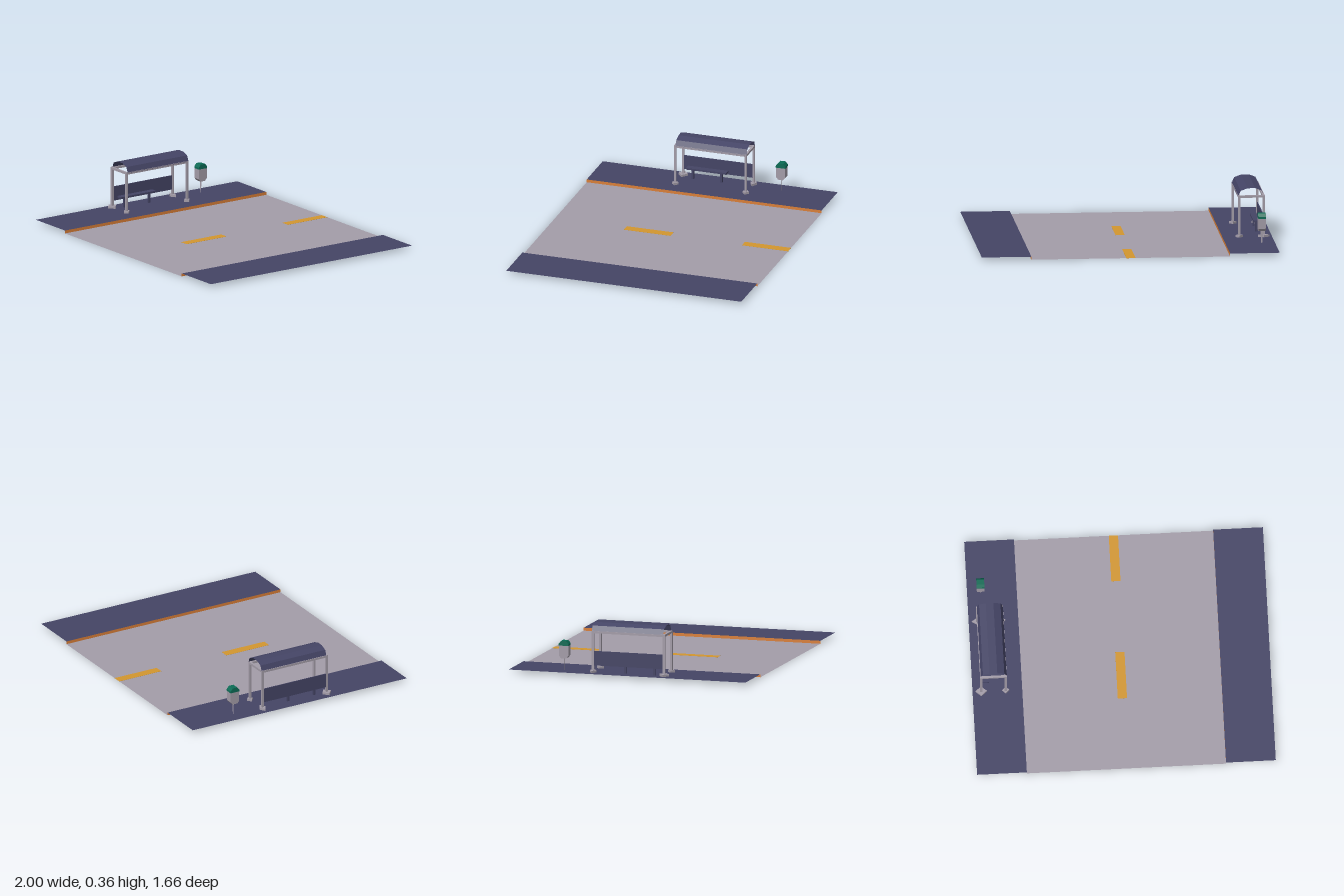
import * as THREE from 'three';

function mat(name, color) {
  const m = new THREE.MeshStandardMaterial({ color, side: THREE.DoubleSide, flatShading: true });
  m.name = name;
  return m;
}

export function createModel() {
  const navy = mat('navy', 0x444465);
  const grey = mat('warm grey', 0xa39ca8);
  const yellow = mat('lane yellow', 0xd2962f);
  const orange = mat('curb orange', 0xd97f38);
  const green = mat('bin green', 0x0b6b55);

  const root = new THREE.Group();
  root.name = 'streetWithShelter';

  function add(parent, name, geometry, material) {
    const m = new THREE.Mesh(geometry, material);
    m.name = name;
    parent.add(m);
    return m;
  }
  // Box given by its minimum and maximum on each axis
  function box(parent, name, material, x0, x1, y0, y1, z0, z1) {
    const m = add(parent, name, new THREE.BoxGeometry(x1 - x0, y1 - y0, z1 - z0), material);
    m.position.set((x0 + x1) / 2, (y0 + y1) / 2, (z0 + z1) / 2);
    return m;
  }
  function ground(name, material, width, x, y) {
    const m = add(root, name, new THREE.PlaneGeometry(width, 1.66).rotateX(-Math.PI / 2), material);
    m.position.set(x, y, 0);
  }
  // Profile drawn as [z, y], extruded along x around its centre
  function extrudeX(parent, name, material, points, width, x, z) {
    const shape = new THREE.Shape(points.map(([pz, py]) => new THREE.Vector2(-pz, py)));
    const g = new THREE.ExtrudeGeometry(shape, { depth: width, bevelEnabled: false });
    g.translate(0, 0, -width / 2).rotateY(Math.PI / 2);
    add(parent, name, g, material).position.set(x, 0, z);
  }

  // Road, raised pavements and curbs
  ground('road', grey, 1.334, 0, 0);
  for (const s of [-1, 1]) {
    const side = s > 0 ? 'left' : 'right';
    ground(side + 'Pavement', navy, 0.333, s * 0.8335, 0.02);
    const curb = add(root, side + 'Curb', new THREE.PlaneGeometry(1.66, 0.02).rotateY(-s * Math.PI / 2), orange);
    curb.position.set(s * 0.667, 0.01, 0);
  }

  // Lane dashes, showing on both faces of the road
  for (const [z0, z1] of [[-0.83, -0.505], [0, 0.33]]) {
    box(root, 'laneDash', yellow, -0.032, 0.03, -0.001, 0.001, z0, z1);
  }

  // Shelter frame
  const shelter = new THREE.Group();
  shelter.name = 'shelter';
  root.add(shelter);
  const xs = [-0.942, -0.778], zs = [0.242, -0.256], h = 0.0075;
  for (const x of xs) {
    for (const z of zs) {
      box(shelter, 'post', grey, x - h, x + h, 0.03, 0.305, z - h, z + h);
      // diamond foot plate
      const rx = x < -0.9 ? 0.038 : 0.024;
      const rz = x < -0.9 && z > 0 ? 0.033 : 0.023;
      const foot = add(shelter, 'foot', new THREE.CylinderGeometry(1, 1, 0.015, 4), grey);
      foot.scale.set(rx, 1, rz);
      foot.position.set(x, 0.03, z);
    }
    box(shelter, 'sideBeam', grey, x - h, x + h, 0.289, 0.304, zs[1], zs[0]);
  }
  for (const z of zs) {
    box(shelter, 'crossBeam', grey, xs[0] - h, xs[1] + h, 0.29, 0.305, z - h, z + h);
  }

  // Arched roof sheet, lofted from a faceted profile
  const arch = [[-0.947, 0.3], [-0.93, 0.338], [-0.885, 0.355], [-0.834, 0.355], [-0.787, 0.338], [-0.77, 0.3]];
  const pos = [], index = [];
  arch.forEach(([x, y], i) => {
    pos.push(x, y, 0.238, x, y, -0.264);
    if (i > 0) {
      const a = 2 * i - 2;
      index.push(a, a + 2, a + 1, a + 1, a + 2, a + 3);
    }
  });
  const roofGeo = new THREE.BufferGeometry();
  roofGeo.setAttribute('position', new THREE.Float32BufferAttribute(pos, 3));
  roofGeo.setIndex(index);
  roofGeo.computeVertexNormals();
  add(shelter, 'roof', roofGeo, navy);

  // Back panel
  box(shelter, 'backPanel', navy, -0.945, -0.939, 0.07, 0.168, -0.256, 0.242);

  // Bench
  const bench = new THREE.Group();
  bench.name = 'bench';
  root.add(bench);
  box(bench, 'benchSeat', navy, -0.933, -0.889, 0.088, 0.1, -0.08, 0.205);
  for (const z of [0.163, -0.038]) {
    box(bench, 'benchLeg', navy, -0.918, -0.904, 0.018, 0.088, z - 0.008, z + 0.008);
  }

  // Litter bin: chamfered body, lid and flat tapered stake
  const bin = new THREE.Group();
  bin.name = 'litterBin';
  root.add(bin);
  const bx = -0.911, bz = -0.465;
  extrudeX(bin, 'binBody', grey,
    [[-0.033, 0.19], [-0.033, 0.122], [-0.018, 0.104], [0.018, 0.104], [0.033, 0.122], [0.033, 0.19]], 0.05, bx, bz);
  extrudeX(bin, 'binLid', green,
    [[-0.034, 0.19], [0.034, 0.19], [0.034, 0.203], [0.018, 0.222], [-0.018, 0.222], [-0.034, 0.203]], 0.052, bx, bz);
  const stake = new THREE.Shape([[-0.01, 0.106], [-0.003, 0.018], [0.003, 0.018], [0.01, 0.106]]
    .map(([x, y]) => new THREE.Vector2(x, y)));
  add(bin, 'binStake', new THREE.ShapeGeometry(stake), grey).position.set(bx, 0, bz);

  return root;
}
